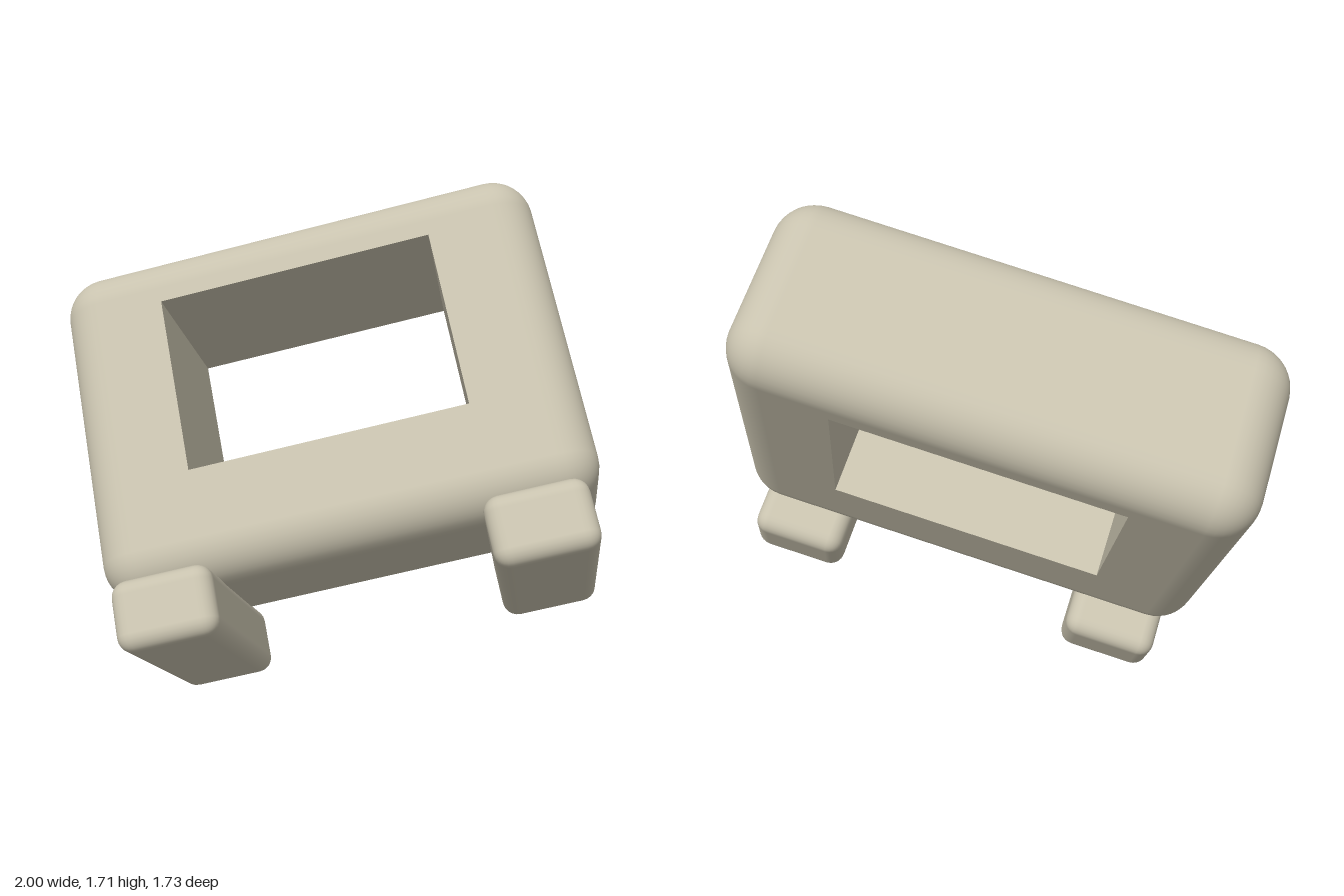
import * as THREE from 'three';
import { RoundedBoxGeometry } from 'three/addons/geometries/RoundedBoxGeometry.js';

// Half sizes and rounding of the body, and the window cut through it
const A = 0.795, B = 0.565, C = 0.305, R = 0.135;
const HOLE = { x: 0.448, y: 0.296, cy: 0.085 };

// Rounded box without its flat front and back panels
function openShell() {
  const box = new RoundedBoxGeometry(2 * A, 2 * B, 2 * C, 5, R);
  const pos = box.attributes.position, nor = box.attributes.normal;
  const p = [], n = [];
  for (let i = 0; i < pos.count; i += 3) {
    const flat = [0, 1, 2].every((k) => Math.abs(nor.getZ(i + k)) > 0.9999);
    if (flat) continue;
    for (let k = i; k < i + 3; k++) {
      p.push(pos.getX(k), pos.getY(k), pos.getZ(k));
      n.push(nor.getX(k), nor.getY(k), nor.getZ(k));
    }
  }
  const shell = new THREE.BufferGeometry();
  shell.setAttribute('position', new THREE.Float32BufferAttribute(p, 3));
  shell.setAttribute('normal', new THREE.Float32BufferAttribute(n, 3));
  return shell;
}

function rectangle(path, x, y, cy) {
  path.moveTo(-x, cy - y);
  path.lineTo(x, cy - y);
  path.lineTo(x, cy + y);
  path.lineTo(-x, cy + y);
  path.closePath();
  return path;
}

export function createModel() {
  const stone = new THREE.MeshStandardMaterial({ color: 0xc8c2ae });
  stone.name = 'warm stone';

  const model = new THREE.Group();
  model.name = 'tiltedFrame';
  const tilted = new THREE.Group();
  tilted.name = 'frameWithFeet';
  model.add(tilted);

  const add = (name, geometry, x = 0, y = 0, z = 0) => {
    const mesh = new THREE.Mesh(geometry, stone);
    mesh.name = name;
    mesh.position.set(x, y, z);
    tilted.add(mesh);
    return mesh;
  };

  // Body: rounded shell plus pierced front and back panels
  add('bodyShell', openShell());
  const panel = rectangle(new THREE.Shape(), A - R, B - R, 0);
  panel.holes.push(rectangle(new THREE.Path(), HOLE.x, HOLE.y, HOLE.cy));
  const panelGeometry = new THREE.ShapeGeometry(panel);
  add('frontPanel', panelGeometry, 0, 0, C);
  add('backPanel', panelGeometry, 0, 0, -C).rotation.y = Math.PI;

  // Inner walls of the window, facing inwards
  for (const s of [1, -1]) {
    const side = add(s > 0 ? 'leftWindowWall' : 'rightWindowWall',
      new THREE.PlaneGeometry(2 * C, 2 * HOLE.y), s * HOLE.x, HOLE.cy, 0);
    side.rotation.y = -s * Math.PI / 2;
    const level = add(s > 0 ? 'topWindowWall' : 'bottomWindowWall',
      new THREE.PlaneGeometry(2 * HOLE.x, 2 * C), 0, HOLE.cy + s * HOLE.y, 0);
    level.rotation.x = s * Math.PI / 2;
  }

  // Long feet, running front to back
  const foot = new RoundedBoxGeometry(0.316, 0.22, 0.826, 3, 0.05);
  for (const s of [1, -1]) add(s > 0 ? 'leftFoot' : 'rightFoot', foot, s * 0.57, -0.644, 0);

  // Tilt the whole piece
  const across = new THREE.Vector3(0.804, 0.246, -0.542).normalize();
  const front = new THREE.Vector3(0.340, 0.557, 0.758).normalize();
  const up = new THREE.Vector3().crossVectors(front, across).normalize();
  front.crossVectors(across, up);
  tilted.quaternion.setFromRotationMatrix(new THREE.Matrix4().makeBasis(across, up, front));
  tilted.position.set(-0.067, 0.978, -0.085);

  return model;
}
